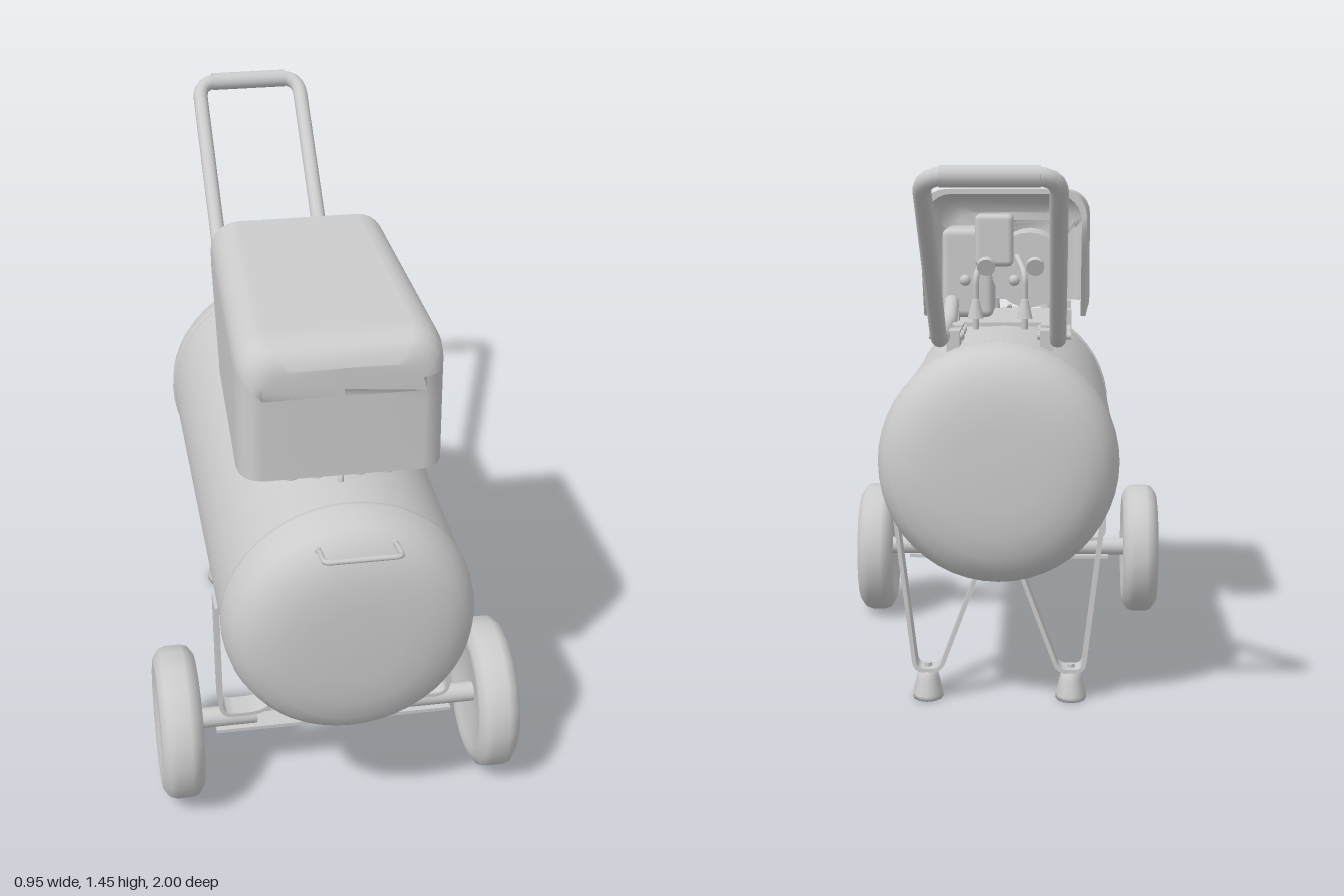
import * as THREE from 'three';
import { toCreasedNormals } from 'three/addons/utils/BufferGeometryUtils.js';
import { RoundedBoxGeometry } from 'three/addons/geometries/RoundedBoxGeometry.js';

const mat = new THREE.MeshStandardMaterial({ color: 0xcccccc, side: THREE.DoubleSide });
const V = (x, y, z) => new THREE.Vector3(x, y, z);

function add(parent, name, geo, x = 0, y = 0, z = 0) {
  const m = new THREE.Mesh(geo, mat);
  m.name = name;
  m.position.set(x, y, z);
  parent.add(m);
  return m;
}

// Polyline whose corners are rounded by radius r
function roundedPath(pts, r) {
  const path = new THREE.CurvePath();
  let prev = pts[0];
  for (let i = 1; i < pts.length - 1; i++) {
    const a = pts[i].clone().add(pts[i - 1].clone().sub(pts[i]).setLength(r));
    const b = pts[i].clone().add(pts[i + 1].clone().sub(pts[i]).setLength(r));
    path.add(new THREE.LineCurve3(prev, a));
    path.add(new THREE.QuadraticBezierCurve3(a, pts[i], b));
    prev = b;
  }
  path.add(new THREE.LineCurve3(prev, pts[pts.length - 1]));
  return path;
}

const tube = (pts, bend, r, seg = 40, sides = 8) =>
  new THREE.TubeGeometry(roundedPath(pts, bend), seg, r, sides, false);

// Flat bar bent along an x-y path, with its width along z
function strap(pts, bend, width, thick) {
  const p = roundedPath(pts.map(([x, y]) => V(x, y, 0)), bend).getPoints(6);
  const side = s => p.map((q, i) => {
    const d = p[Math.min(i + 1, p.length - 1)].clone().sub(p[Math.max(i - 1, 0)]).normalize();
    return new THREE.Vector2(q.x - d.y * s, q.y + d.x * s);
  });
  const shape = new THREE.Shape([...side(thick / 2), ...side(-thick / 2).reverse()]);
  const g = new THREE.ExtrudeGeometry(shape, { depth: width, bevelEnabled: false });
  return toCreasedNormals(g.translate(0, 0, -width / 2), 0.6);
}

const lathe = (pts, seg) =>
  new THREE.LatheGeometry(pts.map(([r, y]) => new THREE.Vector2(r, y)), seg);

// One skin of the hood: arch sections from the slanted rear opening to the closed nose
function hoodSkin(off) {
  const stations = [[0, 0], [0.5, 0], [0.86, 0], [0.92, 0.006], [0.96, 0.018], [0.985, 0.035], [1, 0.06], [1, 0.3]];
  const pos = [], idx = [];
  const rows = 22;
  for (const [t, inset] of stations) {
    const zf = 0.72 - off;
    const w = THREE.MathUtils.lerp(0.235, 0.258, t) - off;
    const hw = Math.max(w - inset, 0), top = 1.37 - 0.016 * t - off - Math.min(inset, 0.06);
    const r = Math.min(0.075, hw), base = 1.0;
    const arch = [[-hw, base], [-hw, 1.09], [-hw, 1.18], [-hw, 1.255]];
    for (let k = 0; k <= 6; k++) {
      const a = Math.PI - k * Math.PI / 12;
      arch.push([-hw + r + r * Math.cos(a), top - 0.075 + 0.075 * Math.sin(a)]);
    }
    const full = [...arch, ...arch.slice().reverse().map(([x, y]) => [-x, y])];
    for (const [x, y] of full) {
      const zb = y < 1.255 ? 0.15 * (1.255 - y) / 0.255 : 0;
      pos.push(x, y, THREE.MathUtils.lerp(zb, zf, t));
    }
  }
  for (let j = 0; j < stations.length - 1; j++)
    for (let i = 0; i < rows - 1; i++) {
      const a = j * rows + i, b = a + 1, c = a + rows, d = c + 1;
      idx.push(a, c, b, b, c, d);
    }
  const g = new THREE.BufferGeometry();
  g.setAttribute('position', new THREE.Float32BufferAttribute(pos, 3));
  g.setIndex(idx);
  g.computeVertexNormals();
  return g;
}

// Strip closing the rear edge between the outer and inner skins
function hoodRim(outer, inner, n) {
  const pos = [], idx = [];
  for (let i = 0; i < n; i++)
    for (const g of [outer, inner]) {
      const p = g.attributes.position;
      pos.push(p.getX(i), p.getY(i), p.getZ(i));
    }
  for (let i = 0; i < n - 1; i++) idx.push(2 * i, 2 * i + 2, 2 * i + 1, 2 * i + 1, 2 * i + 2, 2 * i + 3);
  const g = new THREE.BufferGeometry();
  g.setAttribute('position', new THREE.Float32BufferAttribute(pos, 3));
  g.setIndex(idx);
  g.computeVertexNormals();
  return g;
}

export function createModel() {
  const model = new THREE.Group();
  model.name = 'airCompressor';

  // Tank: barrel with two domed ends, slightly tilted
  const tank = new THREE.Group();
  tank.name = 'tank';
  tank.position.set(0, 0.657, 0.2);
  tank.rotation.x = 0.013;
  model.add(tank);
  add(tank, 'tankBarrel', new THREE.CylinderGeometry(0.314, 0.314, 1.2, 48, 1, true).rotateX(Math.PI / 2));
  const dome = [[0.314, -0.012], [0.319, -0.01], [0.319, 0], [0.314, 0.04], [0.3, 0.077], [0.275, 0.105],
    [0.235, 0.127], [0.18, 0.14], [0.11, 0.146], [0, 0.147]];
  for (const s of [1, -1]) {
    const d = add(tank, s > 0 ? 'frontDome' : 'rearDome', lathe(dome, 48).rotateX(s * Math.PI / 2));
    d.position.z = s * 0.6;
  }

  // Hood over the motor, open below and at the rear
  const hood = new THREE.Group();
  hood.name = 'hood';
  model.add(hood);
  const outer = hoodSkin(0), inner = hoodSkin(0.014);
  add(hood, 'hoodOuter', outer);
  add(hood, 'hoodInner', inner);
  add(hood, 'hoodRim', hoodRim(outer, inner, 22));

  // Motor and pump beneath the hood
  const motor = new THREE.Group();
  motor.name = 'motor';
  model.add(motor);
  add(motor, 'basePlate', new THREE.BoxGeometry(0.3, 0.012, 0.46), 0, 0.975, 0.37);
  add(motor, 'motorBody', new THREE.CylinderGeometry(0.11, 0.11, 0.3, 24).rotateX(Math.PI / 2), -0.07, 1.13, 0.34);
  add(motor, 'pumpBlock', new RoundedBoxGeometry(0.15, 0.26, 0.22, 2, 0.02), 0.11, 1.12, 0.3);
  add(motor, 'switchPanel', new RoundedBoxGeometry(0.11, 0.15, 0.08, 2, 0.015), 0.03, 1.22, 0.15);
  for (const x of [-0.12, -0.05, 0.05, 0.12])
    add(motor, 'mountFoot', new THREE.CylinderGeometry(0.018, 0.024, 0.05, 10), x, 0.985, 0.64);
  for (const x of [-0.06, 0.08]) {
    add(motor, 'airPipe', tube([V(x, 0.97, 0.06), V(x, 1.13, 0.05), V(x * 0.6, 1.17, 0.18)], 0.03, 0.009, 20));
    add(motor, 'outletValve', new THREE.CylinderGeometry(0.01, 0.024, 0.055, 10), x, 1.03, 0.04);
    const g = add(motor, 'gauge', new THREE.CylinderGeometry(0.026, 0.026, 0.02, 14), x - 0.03, 1.15, 0.055);
    g.rotation.x = Math.PI / 2 - 0.4;
    add(motor, 'valveKnob', new THREE.SphereGeometry(0.016, 10, 8), x + 0.03, 1.11, 0.055);
  }

  // Push handle: one bent tube with a thicker grip
  const half = s => [V(s * 0.155, 1.04, 0.16), V(s * 0.155, 0.988, 0.05), V(s * 0.155, 0.986, -0.41), V(s * 0.157, 1.422, -0.974)];
  add(model, 'pushHandle', tube([...half(-1), ...half(1).reverse()], 0.06, 0.022, 160, 12));
  add(model, 'handleGrip', new THREE.CylinderGeometry(0.026, 0.026, 0.23, 14).rotateZ(Math.PI / 2), 0, 1.422, -0.974);

  for (const s of [1, -1]) {
    // Clamps fixing the handle to the tank
    for (const z of [-0.09, -0.24]) {
      add(model, 'handleClamp', new THREE.BoxGeometry(0.035, 0.07, 0.09), s * 0.125, 0.965, z);
      for (const dz of [-0.03, 0.03])
        add(model, 'clampBolt', new THREE.CylinderGeometry(0.009, 0.009, 0.09, 8).rotateZ(Math.PI / 2), s * 0.145, 0.985, z + dz);
    }
    // Hood supports standing on the tank
    for (const z of [0.2, 0.52])
      add(model, 'hoodSupport', new THREE.BoxGeometry(0.06, 0.12, 0.05), s * 0.165, 0.955, z);

    // Wheel, axle and bent strap at the front
    const wheel = new THREE.Group();
    wheel.name = s > 0 ? 'leftWheel' : 'rightWheel';
    wheel.position.set(s * 0.42, 0.204, 0.615);
    model.add(wheel);
    const tire = [[0, -0.03], [0.03, -0.035], [0.1, -0.04], [0.135, -0.05], [0.155, -0.056], [0.175, -0.054], [0.198, -0.038], [0.204, -0.02]];
    add(wheel, 'tyre', lathe([...tire, ...tire.map(([r, y]) => [r, -y]).reverse()], 18).rotateZ(Math.PI / 2));
    add(wheel, 'hubBolt', new THREE.CylinderGeometry(0.014, 0.014, 0.02, 8).rotateZ(Math.PI / 2), s * 0.036, 0, 0);
    add(model, 'axle', new THREE.CylinderGeometry(0.027, 0.027, 0.18, 14).rotateZ(Math.PI / 2), s * 0.3, 0.207, 0.615);
    add(model, 'frontLeg', strap([[s * 0.312, 0.59], [s * 0.307, 0.237], [s * 0.2, 0.237], [s * 0.06, 0.345]], 0.035, 0.07, 0.011), 0, 0, 0.62);

    // Rear leg strap and rubber foot
    add(model, 'rearLeg', strap([[s * 0.282, 0.525], [s * 0.228, 0.08], [s * 0.16, 0.08], [s * 0.055, 0.36]], 0.025, 0.07, 0.011), 0, 0, -0.322);
    const foot = add(model, 'rearFoot', lathe([[0, 0], [0.055, 0], [0.055, 0.012], [0.042, 0.055], [0.035, 0.075], [0.02, 0.083], [0, 0.084]], 12), s * 0.195, 0, -0.325);
    foot.scale.x = 0.75;
    add(model, 'footBolt', new THREE.CylinderGeometry(0.01, 0.01, 0.03, 8), s * 0.195, 0.08, -0.325);
  }
  add(model, 'axleBrace', new THREE.BoxGeometry(0.64, 0.01, 0.06), 0, 0.178, 0.615);

  // Small wire loop on the front dome
  add(model, 'frontLoop', tube([V(-0.093, 0.895, 0.87), V(-0.093, 0.92, 0.92), V(-0.093, 0.935, 0.992),
    V(0.093, 0.935, 0.992), V(0.093, 0.92, 0.92), V(0.093, 0.895, 0.87)], 0.018, 0.007, 60));
  for (const x of [-0.093, 0.093])
    add(model, 'loopBase', new THREE.SphereGeometry(0.013, 10, 8), x, 0.905, 0.895);
  // Drain pipe near the hood's front edge
  add(model, 'frontPipe', tube([V(0, 0.9, 0.69), V(0, 0.982, 0.69), V(0, 0.982, 0.6)], 0.02, 0.007, 20));

  return model;
}
